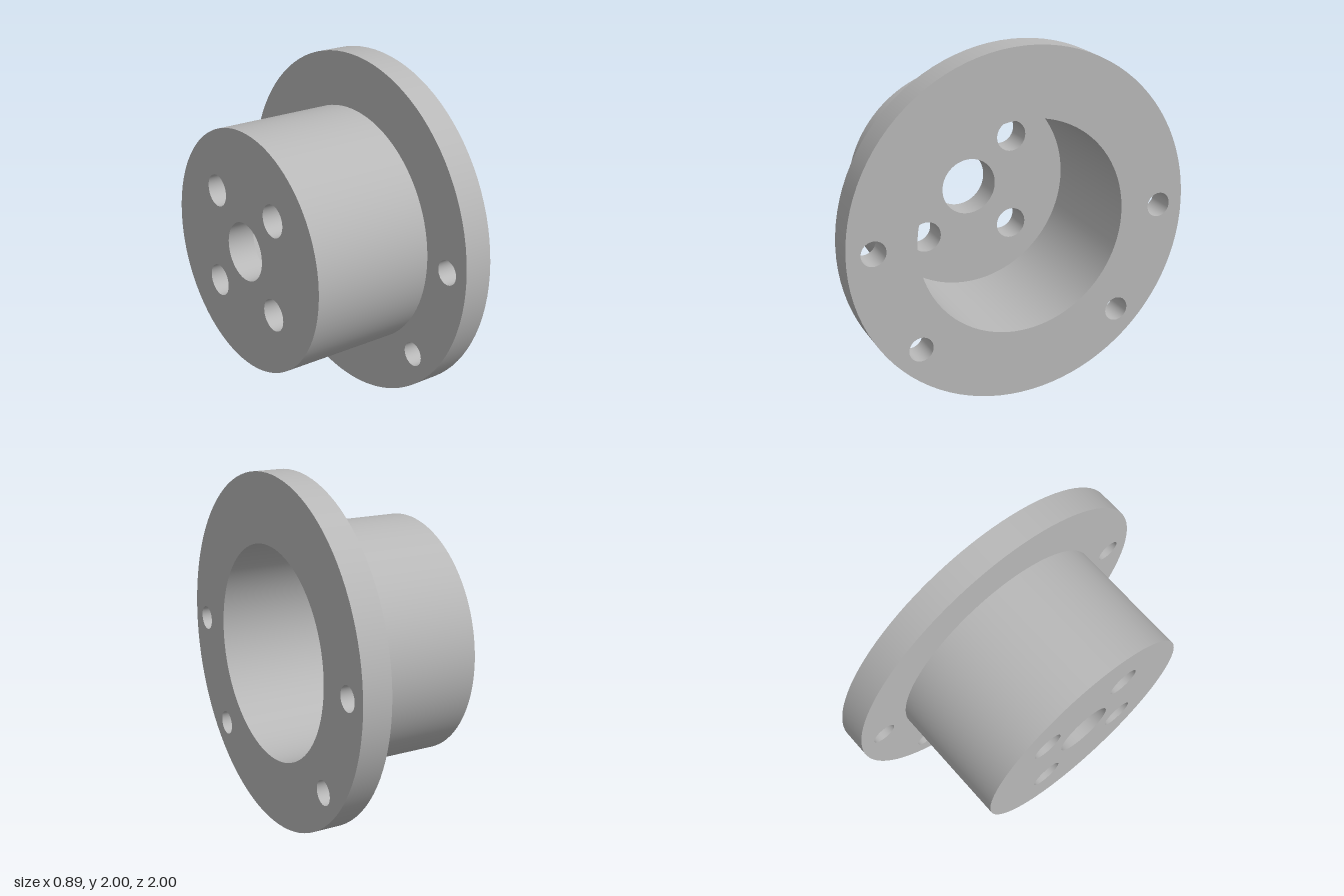
import * as THREE from 'three';
import { mergeGeometries } from 'three/addons/utils/BufferGeometryUtils.js';

// Positions along the axis, and radii
const BACK = -0.443, FLOOR = -0.278, STEP = 0.277, FRONT = 0.443;
const R_FLANGE = 1, R_BARREL = 0.69, R_BORE = 0.61;

// Holes as [across, up, radius], measured from the axis
const BOLT_HOLES = [[-0.85, 0, 0.07], [0.85, 0, 0.07], [-0.6, -0.6, 0.07], [0.6, -0.6, 0.07]];
const PLATE_HOLES = [[0, 0, 0.168]];
for (const x of [-0.275, 0.275]) for (const y of [-0.275, 0.275]) PLATE_HOLES.push([x, y, 0.092]);

// Flat disc with round holes, facing along the axis (dir 1) or against it (dir -1)
function face(radius, holes, z, dir) {
  const shape = new THREE.Shape().absarc(0, 0, radius, 0, Math.PI * 2);
  for (const [x, y, r] of holes) {
    shape.holes.push(new THREE.Path().absarc(x, y, r, 0, Math.PI * 2, true));
  }
  const geometry = new THREE.ShapeGeometry(shape, 48);
  if (dir < 0) geometry.rotateY(Math.PI);
  return geometry.translate(0, 0, z);
}

// Round wall: faces outward when z0 < z1, inward when z0 > z1
function wall(radius, z0, z1, x = 0, y = 0) {
  const points = [new THREE.Vector2(radius, z0), new THREE.Vector2(radius, z1)];
  return new THREE.LatheGeometry(points, 96).rotateX(Math.PI / 2).translate(x, y, 0);
}

const holeWalls = (holes, z0, z1) => holes.map(([x, y, r]) => wall(r, z1, z0, x, y));

export function createModel() {
  const metal = new THREE.MeshStandardMaterial({ color: 0xb8b8b8 });
  metal.name = 'plain grey metal';

  const model = new THREE.Group();
  model.name = 'flangedHub';
  const addPart = (name, geometries) => {
    const mesh = new THREE.Mesh(mergeGeometries(geometries), metal);
    mesh.name = name;
    model.add(mesh);
  };

  // Wide mounting ring with its bolt holes
  addPart('flange', [
    wall(R_FLANGE, STEP, FRONT),
    face(R_FLANGE, [[0, 0, R_BORE], ...BOLT_HOLES], FRONT, 1),
    face(R_FLANGE, [[0, 0, R_BARREL], ...BOLT_HOLES], STEP, -1),
    ...holeWalls(BOLT_HOLES, STEP, FRONT),
  ]);

  // Hollow cylinder; the bore runs through the flange
  addPart('barrel', [
    wall(R_BARREL, BACK, STEP),
    wall(R_BORE, FRONT, FLOOR),
  ]);

  // Closed end with the shaft hole and four smaller holes
  addPart('endPlate', [
    face(R_BARREL, PLATE_HOLES, BACK, -1),
    face(R_BORE, PLATE_HOLES, FLOOR, 1),
    ...holeWalls(PLATE_HOLES, BACK, FLOOR),
  ]);

  // Turn the axis to +x and stand the flange on the ground
  model.rotation.y = Math.PI / 2;
  model.position.y = 1;
  return model;
}
